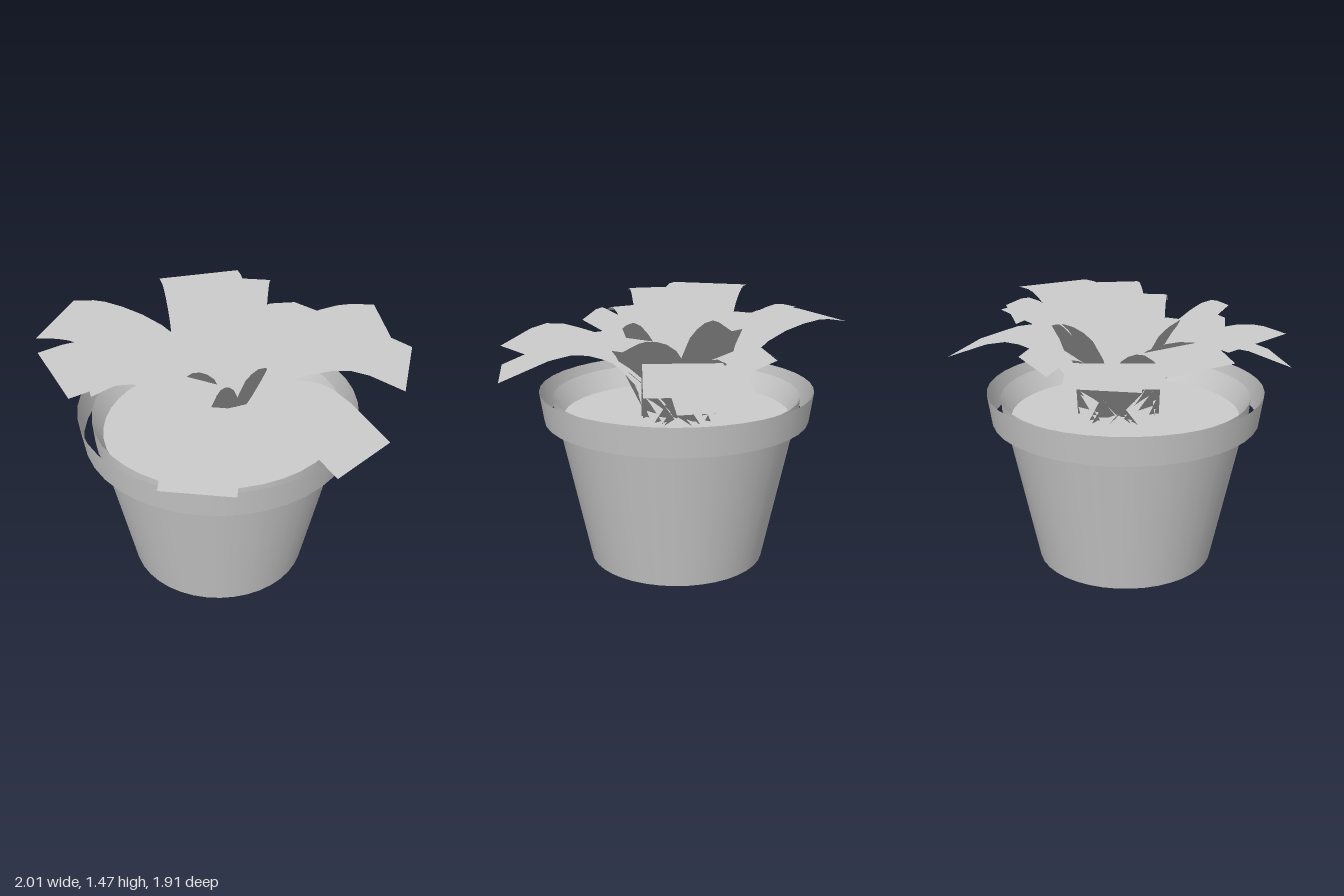
import * as THREE from 'three';

const clay = new THREE.MeshStandardMaterial({ color: 0xcccccc, side: THREE.DoubleSide });
clay.name = 'plain grey';

// Open shell turned from [radius, y] points
function turned(name, points) {
  const profile = points.map(([r, y]) => new THREE.Vector2(r, y));
  const mesh = new THREE.Mesh(new THREE.LatheGeometry(profile, 40), clay);
  mesh.name = name;
  mesh.position.set(-0.008, 0, 0.04);
  return mesh;
}

// Arching strip of even width that leaves the soil, peaks and ends in a square-cut tip
function leaf(tipX, tipZ, tipY, peakY, peakAt, width = 0.41) {
  const reach = Math.hypot(tipX, tipZ);
  const dx = tipX / reach, dz = tipZ / reach;
  const peakR = reach * peakAt;
  const path = new THREE.CatmullRomCurve3([
    new THREE.Vector3(0.01, 0.82, 0),
    new THREE.Vector3(0.14, 1.0, 0),
    new THREE.Vector3(0.16 + (peakR - 0.16) * 0.45, 1.0 + (peakY - 1.0) * 0.75, 0),
    new THREE.Vector3(peakR, peakY, 0),
    new THREE.Vector3(reach, tipY, 0),
  ]);
  const rows = 12, positions = [], normals = [], index = [];
  for (let i = 0; i <= rows; i++) {
    const p = path.getPoint(i / rows);
    for (const side of [-0.5, 0.5]) {
      const offset = side * width;
      positions.push(p.x * dx - offset * dz, p.y, p.x * dz + offset * dx);
      normals.push(0, 1, 0); // evenly lit foliage
    }
    if (i < rows) {
      const a = i * 2;
      index.push(a, a + 1, a + 2, a + 1, a + 3, a + 2);
    }
  }
  const geometry = new THREE.BufferGeometry();
  geometry.setAttribute('position', new THREE.Float32BufferAttribute(positions, 3));
  geometry.setAttribute('normal', new THREE.Float32BufferAttribute(normals, 3));
  geometry.setIndex(index);
  const mesh = new THREE.Mesh(geometry, clay);
  mesh.name = 'leaf';
  return mesh;
}

export function createModel() {
  const model = new THREE.Group();
  model.name = 'pottedPlant';

  // Pot: open tapered body, stepped neck, separate collar around it, sloping inside lip
  const pot = new THREE.Group();
  pot.name = 'pot';
  pot.add(turned('potBody', [[0.492, 0], [0.665, 0.818]]));
  pot.add(turned('neckStep', [[0.665, 0.818], [0.678, 0.818]]));
  pot.add(turned('potNeck', [[0.678, 0.818], [0.688, 0.95]]));
  pot.add(turned('potCollar', [[0.738, 0.818], [0.763, 0.985]]));
  pot.add(turned('innerLip', [[0.688, 0.95], [0.633, 0.835]]));
  model.add(pot);

  const soil = new THREE.Mesh(new THREE.CircleGeometry(0.633, 40), clay);
  soil.name = 'soil';
  soil.rotation.x = -Math.PI / 2;
  soil.position.set(-0.008, 0.835, 0.04);
  model.add(soil);

  // Leaves: tip x, tip z, tip height, peak height, peak position along the reach, width
  const leaves = new THREE.Group();
  leaves.name = 'leaves';
  const outer = [
    [0.22, -0.915, 1.12, 1.24, 0.62],
    [0.95, -0.22, 1.33, 1.41, 0.72, 0.43],
    [0.92, 0.315, 1.1, 1.24, 0.6],
    [0.295, 0.89, 1.09, 1.23, 0.6, 0.38],
    [-0.985, 0.095, 1.3, 1.33, 0.8, 0.45],
    [-0.57, 0.735, 1.42, 1.43, 0.78, 0.46],
  ];
  const upper = [
    [0.725, -0.48, 1.395, 1.405, 0.76, 0.44],
    [-0.14, 0.54, 1.45, 1.47, 0.82, 0.39],
    [-0.37, -0.46, 1.455, 1.46, 0.8, 0.45],
    [-0.19, -0.55, 1.43, 1.465, 0.78],
    [0.47, 0.01, 1.37, 1.43, 0.75, 0.46],
  ];
  const lower = [
    [0.58, 0.53, 1.18, 1.23, 0.7],
    [0.305, -0.726, 1.155, 1.25, 0.68],
    [0.01, 0.575, 1.34, 1.38, 0.78, 0.39],
    [-0.54, -0.03, 1.14, 1.2, 0.75],
    [-0.56, 0.475, 1.27, 1.33, 0.72],
    [-0.27, -0.43, 1.17, 1.24, 0.72, 0.4],
  ];
  for (const spec of [...outer, ...upper, ...lower]) leaves.add(leaf(...spec));
  model.add(leaves);

  return model;
}
